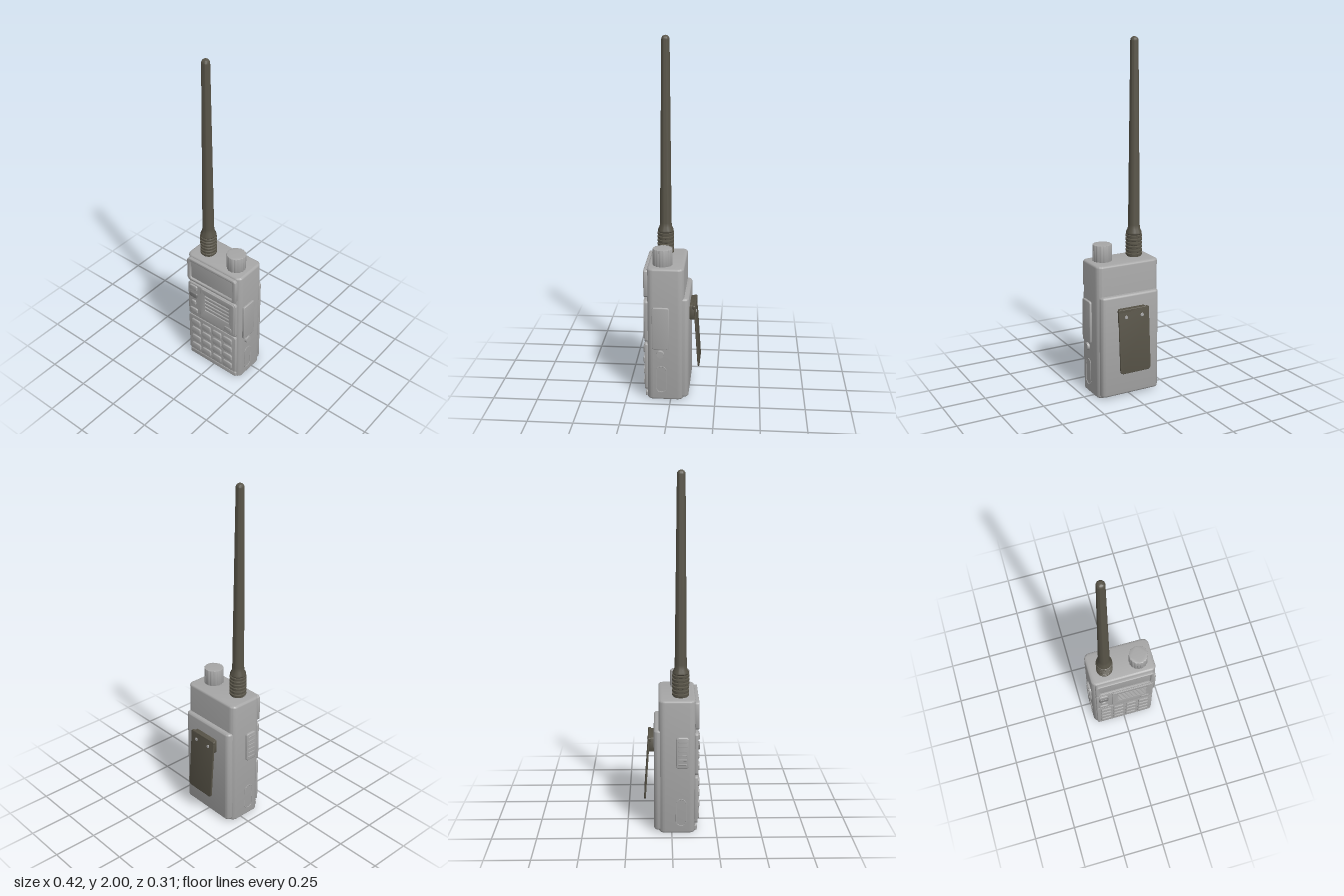
import * as THREE from 'three';
import { toCreasedNormals } from 'three/addons/utils/BufferGeometryUtils.js';

const grey = new THREE.MeshStandardMaterial({ color: 0xa6a6a6 });
grey.name = 'casing grey';
const dark = new THREE.MeshStandardMaterial({ color: 0x575347 });
dark.name = 'dark olive rubber';
const midGrey = new THREE.MeshStandardMaterial({ color: 0x7c7c7c });
midGrey.name = 'menu key grey';

// Rounded rectangle outline, centred on (x, y)
function roundRect(w, h, r, x = 0, y = 0, Type = THREE.Shape) {
  const s = new Type(), a = w / 2, b = h / 2;
  s.absarc(x + a - r, y + b - r, r, 0, Math.PI / 2);
  s.absarc(x - a + r, y + b - r, r, Math.PI / 2, Math.PI);
  s.absarc(x - a + r, y - b + r, r, Math.PI, Math.PI * 1.5);
  s.absarc(x + a - r, y - b + r, r, Math.PI * 1.5, Math.PI * 2);
  s.closePath();
  return s;
}

// Slab with rounded corners and bevelled edges, from z = 0 to z = depth
function slab(w, h, depth, r, bevel, holes = []) {
  const shape = roundRect(w, h, r);
  shape.holes = holes;
  const g = new THREE.ExtrudeGeometry(shape, {
    depth: depth - 2 * bevel, bevelEnabled: true, bevelThickness: bevel,
    bevelSize: bevel, bevelOffset: -bevel, bevelSegments: 3, curveSegments: 6,
  });
  g.translate(0, 0, bevel);
  return toCreasedNormals(g, 0.6);
}

export function createModel() {
  const model = new THREE.Group();
  model.name = 'handheldRadio';
  const add = (name, geometry, material, x = 0, y = 0, z = 0, parent = model) => {
    const m = new THREE.Mesh(geometry, material);
    m.name = name;
    m.position.set(x, y, z);
    parent.add(m);
  };
  // Upright block: slab outline in x/z, extruded along y
  const upright = (w, d, h, r, bevel) => slab(w, d, h, r, bevel).rotateX(-Math.PI / 2);

  // Casing and battery pack
  add('body', upright(0.386, 0.205, 0.776, 0.035, 0.012), grey, 0, 0, 0.03);
  add('batteryPack', upright(0.362, 0.1, 0.59, 0.026, 0.012), grey, 0, 0.012, -0.049);

  // Display bezel with a recessed screen
  const screenHole = roundRect(0.31, 0.125, 0.012, 0, 0, THREE.Path);
  add('displayBezel', slab(0.354, 0.162, 0.024, 0.02, 0.005, [screenHole]), grey, 0, 0.684, 0.127);
  add('screen', slab(0.314, 0.129, 0.008, 0.012, 0.002), grey, 0, 0.684, 0.131);

  // Front panel, keypad panel and foot strip
  add('upperPanel', slab(0.354, 0.25, 0.019, 0.018, 0.004), grey, 0, 0.462, 0.127);
  add('keypadPanel', slab(0.354, 0.285, 0.019, 0.018, 0.004), grey, 0, 0.192, 0.127);
  add('footStrip', slab(0.35, 0.032, 0.014, 0.01, 0.004), grey, 0, 0.026, 0.127);

  // Speaker plate with slots cut through
  const slots = [];
  for (let i = 0; i < 5; i++) {
    slots.push(roundRect(0.18, 0.01, 0.0049, 0, 0.074 - i * 0.027, THREE.Path));
  }
  add('speakerGrille', slab(0.25, 0.232, 0.01, 0.016, 0.002, slots), grey, 0.044, 0.468, 0.142);
  add('cornerKey', slab(0.054, 0.03, 0.008, 0.009, 0.002), grey, 0.125, 0.382, 0.148);

  // Menu keys beside the speaker
  [[0.56, 0.056, grey], [0.502, 0.056, midGrey], [0.444, 0.03, grey], [0.383, 0.056, grey]]
    .forEach(([y, w, mat]) => add('menuKey', slab(w, 0.033, 0.014, 0.009, 0.003), mat, -0.133, y, 0.141));

  // Number keys
  const keyGeo = slab(0.066, 0.044, 0.014, 0.012, 0.004);
  for (let row = 0; row < 4; row++) {
    for (let col = 0; col < 4; col++) {
      add('numberKey', keyGeo, grey, -0.12 + col * 0.08, 0.286 - row * 0.065, 0.141);
    }
  }

  // Accessory cover and round button on the left side
  const side = (g, sign) => g.rotateY(sign * Math.PI / 2);
  add('accessoryCover', side(slab(0.095, 0.245, 0.016, 0.012, 0.004), 1), grey, 0.19, 0.433, 0.055);
  const button = new THREE.CylinderGeometry(0.02, 0.023, 0.016, 24).rotateZ(-Math.PI / 2);
  add('sideButton', button, grey, 0.198, 0.278, 0.057);

  // Talk button with grip ridges on the right side
  add('talkButton', side(slab(0.07, 0.18, 0.018, 0.015, 0.005), -1), grey, -0.188, 0.48, 0.059);
  for (let i = 0; i < 6; i++) {
    add('talkButtonRidge', side(slab(0.05, 0.009, 0.006, 0.004, 0.002), -1), grey, -0.203, 0.415 + i * 0.026, 0.059);
  }

  // Raised outlines low on both sides
  for (const s of [1, -1]) {
    const hole = roundRect(0.052, 0.152, 0.024, 0, 0, THREE.Path);
    add('sideGripOutline', side(slab(0.06, 0.16, 0.006, 0.028, 0.001, [hole]), s), grey, s * 0.19, 0.125, 0.052);
  }

  // Volume knob with a scalloped edge
  const knobShape = new THREE.Shape();
  const steps = 128;
  for (let i = 0; i < steps; i++) {
    const a = (i / steps) * Math.PI * 2;
    const r = 0.047 + 0.005 * Math.sqrt(Math.abs(Math.sin(a * 8)));
    knobShape[i ? 'lineTo' : 'moveTo'](r * Math.cos(a), r * Math.sin(a));
  }
  knobShape.closePath();
  const knobGeo = new THREE.ExtrudeGeometry(knobShape, {
    depth: 0.09, bevelThickness: 0.004, bevelSize: 0.003, bevelSegments: 2,
  }).rotateX(-Math.PI / 2);
  add('volumeKnob', toCreasedNormals(knobGeo, 0.6), grey, 0.104, 0.776, 0.05);

  // Antenna: ribbed base, tapered whip, rounded tip
  const profile = [[0, 0.77], [0.04, 0.77]];
  for (let i = 0; i < 6; i++) {
    const y = 0.782 + i * 0.021;
    profile.push([0.04, y], [0.047, y + 0.003], [0.047, y + 0.013], [0.04, y + 0.016]);
  }
  profile.push([0.045, 0.909], [0.044, 0.918], [0.035, 0.936], [0.033, 0.96], [0.0225, 1.9775]);
  for (let i = 1; i <= 6; i++) {
    const a = (i / 6) * Math.PI / 2;
    profile.push([Math.max(0, 0.0225 * Math.cos(a)), 1.9775 + 0.0225 * Math.sin(a)]);
  }
  const antenna = new THREE.LatheGeometry(profile.map(([r, y]) => new THREE.Vector2(r, y)), 32);
  add('antenna', toCreasedNormals(antenna, 0.6), dark, -0.098, 0, 0.05);

  // Belt clip: mount block, tilted plate and two rivets
  add('clipMount', slab(0.168, 0.085, 0.032, 0.008, 0.002), dark, 0, 0.487, -0.129);
  const clip = new THREE.Group();
  clip.name = 'beltClip';
  clip.position.set(0, 0.53, -0.121);
  clip.rotation.set(-0.068, Math.PI, 0, 'YXZ');
  model.add(clip);
  add('clipPlate', slab(0.192, 0.37, 0.01, 0.02, 0.003), dark, 0, -0.185, 0, clip);
  add('clipTopLip', slab(0.192, 0.02, 0.016, 0.007, 0.003), dark, 0, -0.01, -0.006, clip);
  const rivetGeo = new THREE.CylinderGeometry(0.009, 0.011, 0.004, 16).rotateX(Math.PI / 2);
  for (const x of [-0.05, 0.05]) add('clipRivet', rivetGeo, grey, x, -0.045, 0.011, clip);

  return model;
}
